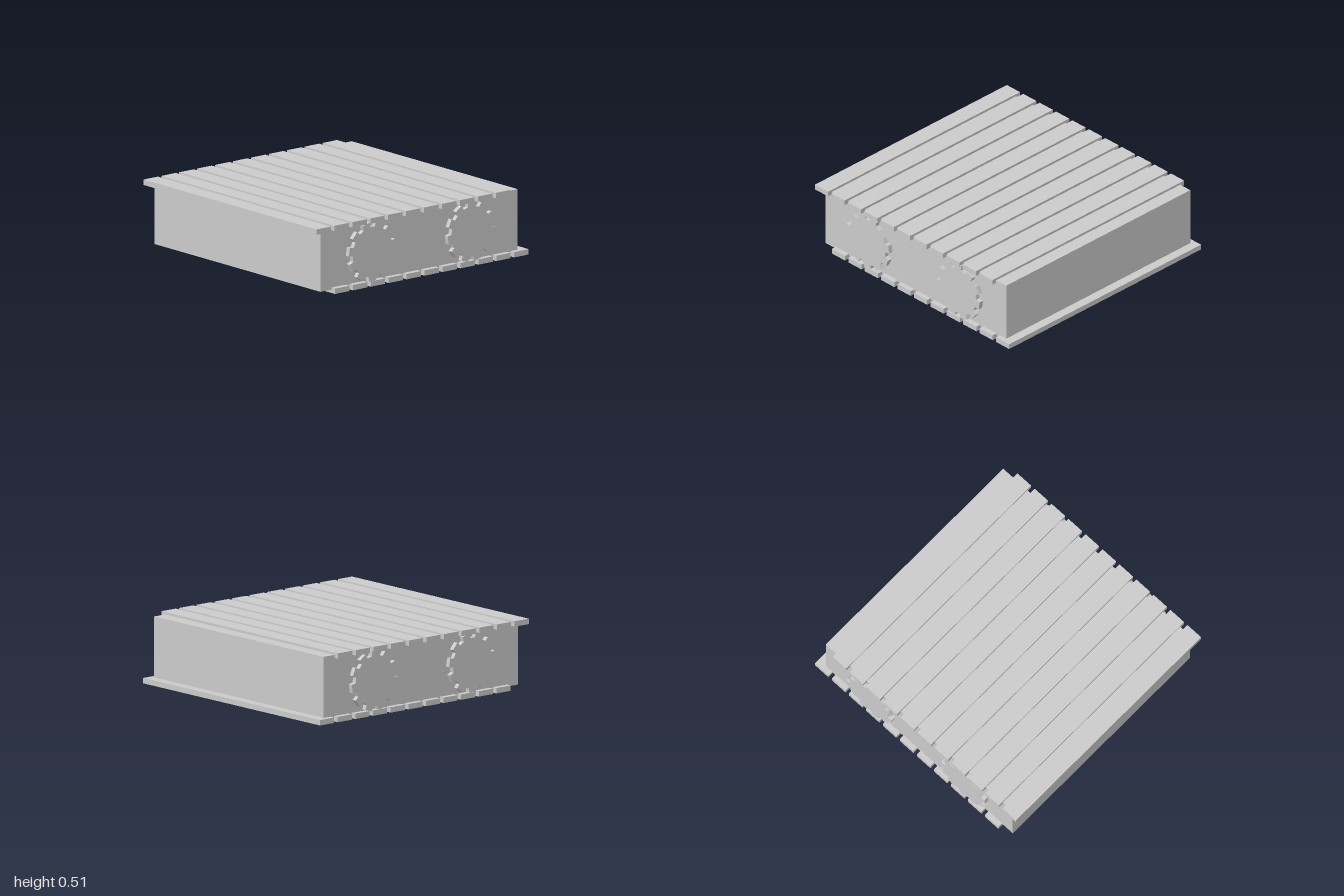
import * as THREE from 'three';

const material = new THREE.MeshStandardMaterial({ color: 0xcccccc, flatShading: true });
const MID_Y = 0.255;

function addBox(parent, name, w, h, d, x, y) {
  const mesh = new THREE.Mesh(new THREE.BoxGeometry(w, h, d), material);
  mesh.name = name;
  mesh.position.set(x, y, 0);
  parent.add(mesh);
}

// Toothed wheel outline with one tooth centred on the start angle
function gearShape(teeth, root, outer, start) {
  const points = [];
  const pitch = (Math.PI * 2) / teeth;
  const corners = [[-0.31, root], [-0.25, outer], [0.25, outer], [0.31, root]];
  for (let i = 0; i < teeth; i++) {
    for (const [offset, radius] of corners) {
      const a = start + (i + offset) * pitch;
      points.push(new THREE.Vector2(Math.cos(a) * radius, Math.sin(a) * radius));
    }
  }
  return new THREE.Shape(points);
}

export function createModel() {
  const model = new THREE.Group();
  model.name = 'slattedConveyor';

  // Solid body between the two runs of slats
  addBox(model, 'body', 1.86, 0.465, 1.86, 0, 0.2575);

  // Upper slats start at one end, lower slats at the other
  const upper = new THREE.Group();
  const lower = new THREE.Group();
  upper.name = 'upperSlats';
  lower.name = 'lowerSlats';
  for (let i = 0; i < 11; i++) {
    const x = -0.932 + i * 0.169;
    addBox(upper, 'slat', 0.136, 0.04, 1.94, x, 0.488);
    addBox(lower, 'slat', 0.136, 0.04, 1.94, -x, 0.02);
  }
  model.add(upper, lower);

  // Gears run through the body and show at both faces
  for (const side of [-1, 1]) {
    const geometry = new THREE.ExtrudeGeometry(
      gearShape(11, 0.188, 0.224, side * Math.PI / 2),
      { depth: 1.93, bevelEnabled: false });
    geometry.translate(0, 0, -0.965);
    const gear = new THREE.Mesh(geometry, material);
    gear.name = side < 0 ? 'rightGear' : 'leftGear';
    gear.position.set(side * 0.466, MID_Y, 0);
    model.add(gear);
  }
  return model;
}
